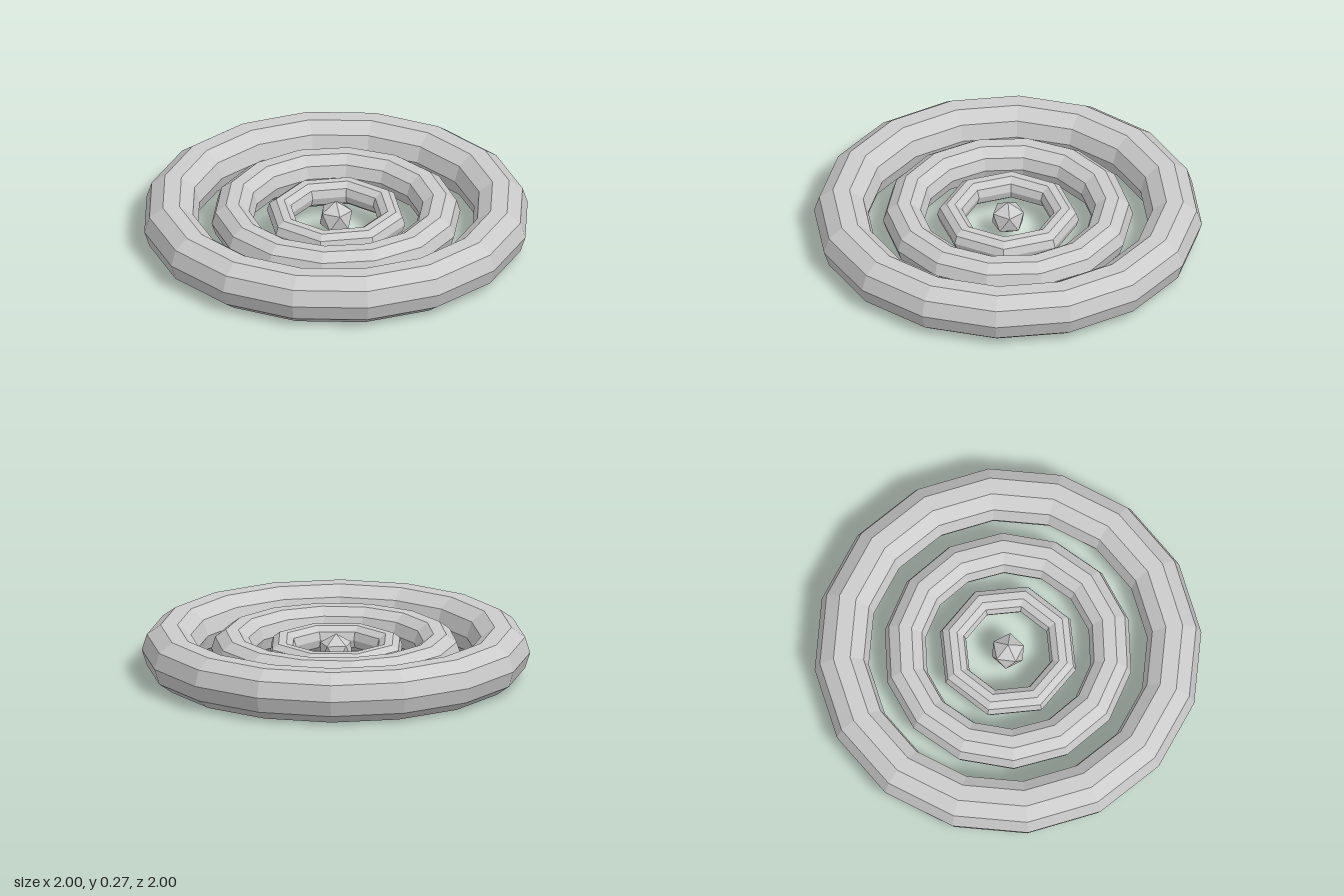
import * as THREE from 'three';

const material = new THREE.MeshStandardMaterial({ color: 0xcccccc, flatShading: true });
const CENTRE_Y = 0.133;

// Low-poly ring lying flat, with a ten-sided tube
function ring(name, radius, tube, sides) {
  const geometry = new THREE.TorusGeometry(radius, tube, 10, sides);
  geometry.rotateX(-Math.PI / 2);
  const mesh = new THREE.Mesh(geometry, material);
  mesh.name = name;
  mesh.position.y = CENTRE_Y;
  return mesh;
}

export function createModel() {
  const model = new THREE.Group();
  model.name = 'concentricRings';

  model.add(
    ring('outerRing', 0.86, 0.14, 16),
    ring('middleRing', 0.537, 0.107, 14),
    ring('innerRing', 0.295, 0.07, 8)
  );

  // Core: icosahedron standing on one of its corners
  const coreGeometry = new THREE.IcosahedronGeometry(0.093, 0);
  coreGeometry.rotateZ(Math.atan(2 / (1 + Math.sqrt(5))));
  const core = new THREE.Mesh(coreGeometry, material);
  core.name = 'core';
  core.position.y = CENTRE_Y;
  model.add(core);

  return model;
}
